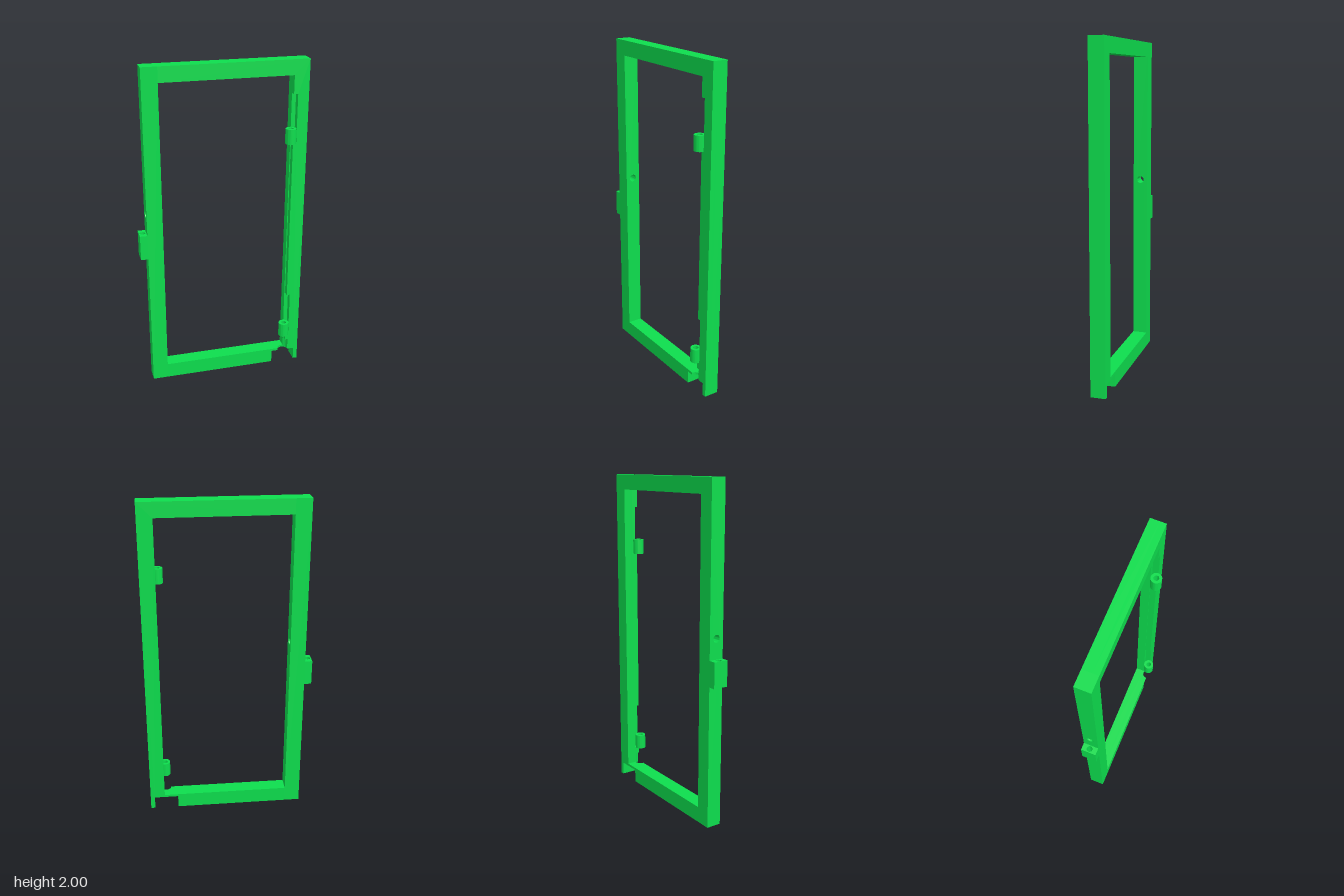
import * as THREE from 'three';
import { toCreasedNormals } from 'three/addons/utils/BufferGeometryUtils.js';

const BACK = -0.062, MID = -0.007, FRONT = 0.029; // depth layers
const MIDZ = (BACK + FRONT) / 2;
const PIN = { x: 0.404, z: 0.03 };                // hinge axis

export function createModel() {
  const model = new THREE.Group();
  const material = new THREE.MeshStandardMaterial({ color: 0x0ddd4d });

  const add = (name, geometry) => {
    const mesh = new THREE.Mesh(toCreasedNormals(geometry, 0.6), material);
    mesh.name = name;
    model.add(mesh);
  };
  const polygon = (pts) => new THREE.Shape(pts.map(([x, y]) => new THREE.Vector2(x, y)));
  const rect = (x0, y0, x1, y1) => polygon([[x0, y0], [x1, y0], [x1, y1], [x0, y1]]);
  const circle = (x, y, r) => new THREE.Path().absarc(x, y, r, 0, Math.PI * 2, true);
  const extrude = (shape, depth) =>
    new THREE.ExtrudeGeometry(shape, { depth, bevelEnabled: false, curveSegments: 20 });
  // Outline in x/y, extruded from z0 to z1
  const slab = (shape, z0, z1) => extrude(shape, z1 - z0).translate(0, 0, z0);
  // Plan outline in x/z, extruded from y0 to y1
  const plan = (shape, y0, y1) => extrude(shape, y1 - y0).rotateX(Math.PI / 2).translate(0, y1, 0);

  // Latch-side stile with a round hole bored across it
  const stile = rect(-FRONT, 0, -BACK, 2);
  stile.holes.push(circle(-MIDZ, 1.13, 0.022));
  add('latchStile', extrude(stile, 0.094).rotateY(Math.PI / 2).translate(-0.464, 0, 0));

  // Top rail, hinge stile and notched sill share one C-shaped outline
  const rails = (inner) => polygon([
    [-0.37, 0], [0.328, 0], ...inner,
    [0.415, 1.91], [-0.37, 1.91], [-0.37, 2], [0.506, 2], [0.506, 0],
    [0.48, 0], [0.48, 0.08],
  ].slice(0));
  const cShape = (hingeEdge, sillEnd) => polygon([
    [-0.37, 0], [0.328, 0], ...sillEnd, [0.506, 0], [0.506, 2], [-0.37, 2],
    [-0.37, 1.91], [0.415, 1.91], ...hingeEdge, [-0.37, 0.095],
  ]);
  add('backFrame', slab(cShape([[0.415, 0.095]],
    [[0.328, 0.08], [0.48, 0.08], [0.48, 0]]), BACK, MID));

  // Front layer: hinge pockets and a shallow rebate between them
  const upper = polygon([
    [0.48, 0], [0.506, 0], [0.506, 2], [-0.37, 2], [-0.37, 1.91], [0.415, 1.91],
    [0.415, 1.8], [0.44, 1.8], [0.44, 1.51], [0.42, 1.51], [0.42, 0.49],
    [0.44, 0.49], [0.44, 0.2], [0.42, 0.2], [0.42, 0.155], [0.48, 0.155],
  ]);
  add('frontFrame', slab(upper, MID, FRONT));
  add('frontSill', slab(rect(-0.37, 0, 0.328, 0.095), MID, FRONT));

  // Rounded pivot socket cut into the sill bridge and the foot of the hinge stile
  const R = 0.033;
  const bridge = polygon([[0.328, FRONT], [0.328, MID], [0.48, MID], [0.48, FRONT], [PIN.x + R, FRONT]]);
  bridge.absarc(PIN.x, FRONT, R, 0, -Math.PI, true);
  add('sillBridge', plan(bridge, 0.08, 0.095));
  const a = -Math.acos((0.415 - PIN.x) / R);
  const foot = polygon([[0.415, MID], [0.48, MID], [0.48, FRONT], [PIN.x + R, FRONT]]);
  foot.absarc(PIN.x, FRONT, R, 0, a, true);
  add('hingeStileFoot', plan(foot, 0.095, 0.155));

  // Hinge barrels
  for (const [name, y] of [['lowerHingeBarrel', 0.2], ['upperHingeBarrel', 1.51]]) {
    const ring = new THREE.Shape().absarc(PIN.x, PIN.z, 0.0325, 0, Math.PI * 2, false);
    ring.holes.push(circle(PIN.x, PIN.z, 0.016));
    add(name, plan(ring, y, y + 0.09));
  }

  // Latch tab with a vertical pin hole
  const tab = rect(-0.508, BACK, -0.464, FRONT);
  tab.holes.push(circle(-0.486, MIDZ, 0.017));
  add('latchTab', plan(tab, 0.857, 1.01));

  return model;
}
